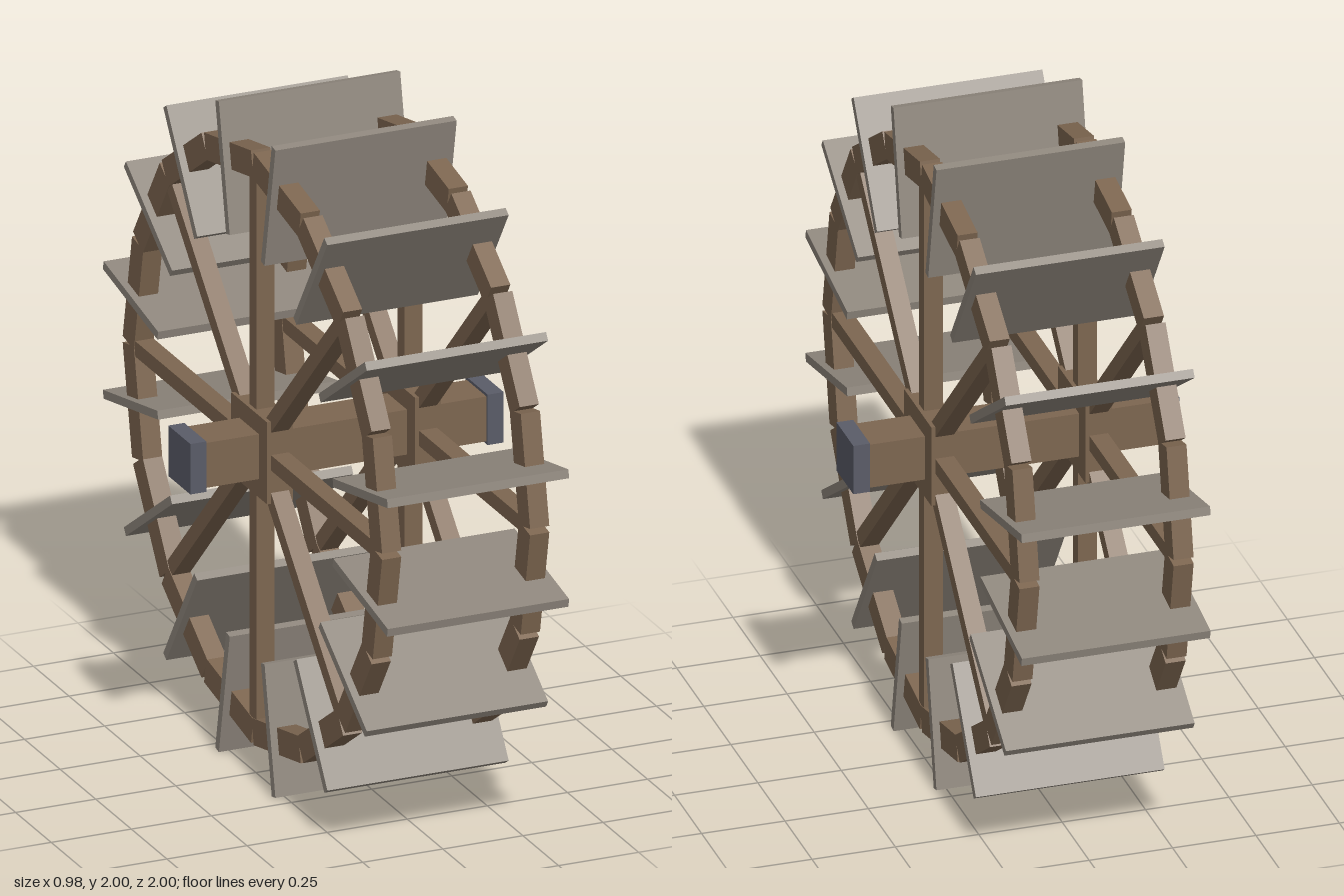
import * as THREE from 'three';

const wood = new THREE.MeshStandardMaterial({ name: 'wood', color: 0x7d6650 });
const plank = new THREE.MeshStandardMaterial({ name: 'weatheredPlank', color: 0x8f877d });
const metal = new THREE.MeshStandardMaterial({ name: 'metal', color: 0x5a5c68 });

function box(parent, name, material, size, x = 0, y = 0, z = 0) {
  const mesh = new THREE.Mesh(new THREE.BoxGeometry(...size), material);
  mesh.name = name;
  mesh.position.set(x, y, z);
  parent.add(mesh);
  return mesh;
}

// Places a box at a radius and angle around the x axis, its y side pointing outwards
function radialBox(parent, name, material, size, x, radius, angle) {
  const mesh = box(parent, name, material, size, x, radius * Math.cos(angle), radius * Math.sin(angle));
  mesh.rotation.x = angle;
}

export function createModel() {
  const model = new THREE.Group();
  model.name = 'waterWheel';
  const wheel = new THREE.Group();
  wheel.name = 'wheel';
  wheel.position.y = 1;
  model.add(wheel);

  const count = 16;
  const step = (Math.PI * 2) / count;

  // Axle beam
  box(wheel, 'axle', wood, [0.9, 0.138, 0.138]);

  // Two matching sides: rim, spokes, hub and axle cap
  for (const side of [1, -1]) {
    const frame = new THREE.Group();
    frame.name = side > 0 ? 'leftFrame' : 'rightFrame';
    wheel.add(frame);
    const x = side * 0.231;

    for (let i = 0; i < count; i++) {
      radialBox(frame, 'rimSegment', wood, [0.06, 0.08, 0.336], x, 0.855, (i + 0.5) * step);
    }
    for (let i = 0; i < 8; i++) {
      radialBox(frame, 'spoke', wood, [0.056, 0.8, 0.047], x, 0.44, i * step * 2);
    }
    box(frame, 'hub', wood, [0.08, 0.252, 0.252], x);
    box(frame, 'axleCap', metal, [0.05, 0.155, 0.155], side * 0.464);
  }

  // Paddles crossing both rims
  for (let i = 0; i < count; i++) {
    radialBox(wheel, 'paddle', plank, [0.566, 0.39, 0.026], 0, 0.822, (i + 0.5) * step);
  }
  return model;
}
